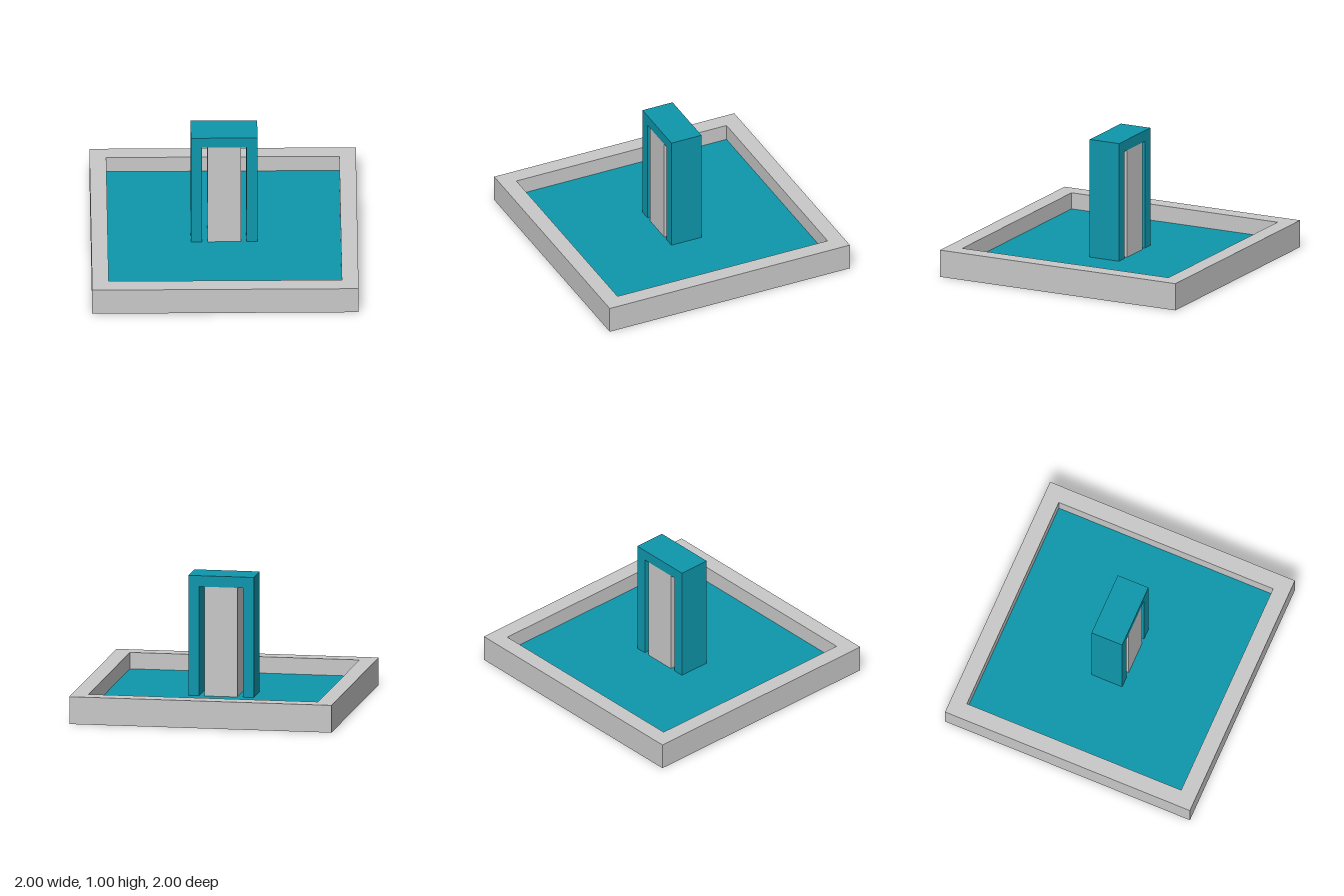
import * as THREE from 'three';

// Everything sits on a grid of 24 steps per unit
const U = 1 / 24;

export function createModel() {
  const stone = new THREE.MeshStandardMaterial({ color: 0xc8c8c8 });
  stone.name = 'stone grey';
  const teal = new THREE.MeshStandardMaterial({ color: 0x0e97ac });
  teal.name = 'teal';

  const model = new THREE.Group();
  model.name = 'gateInBasin';

  function add(name, geometry, material, y = 0) {
    const mesh = new THREE.Mesh(geometry, material);
    mesh.name = name;
    mesh.position.y = y;
    model.add(mesh);
    return mesh;
  }

  // Square basin: underside, outer walls, rim and inner walls in one four-sided turn
  const profile = [[0, 0], [24, 0], [24, 5], [21, 5], [21, 2]]
    .map(([r, y]) => new THREE.Vector2(r * U * Math.SQRT2, y * U));
  const basin = new THREE.LatheGeometry(profile, 4, Math.PI / 4).toNonIndexed();
  basin.computeVertexNormals();
  add('basin', basin, stone);

  // Flat basin floor
  const floor = new THREE.PlaneGeometry(42 * U, 42 * U).rotateX(-Math.PI / 2);
  add('basinFloor', floor, teal, 2 * U);

  // Gate frame: two posts and a lintel as one outline
  const outline = [[-6, 0], [-4, 0], [-4, 20], [4, 20], [4, 0], [6, 0], [6, 22], [-6, 22]]
    .map(([x, y]) => new THREE.Vector2(x * U, y * U));
  const frame = new THREE.ExtrudeGeometry(new THREE.Shape(outline), { depth: 6 * U, bevelEnabled: false });
  frame.translate(0, 0, -3 * U);
  add('gateFrame', frame, teal, 2 * U);

  // Pillar standing in the opening, flush with the frame
  add('centrePillar', new THREE.BoxGeometry(6 * U, 20 * U, 6 * U), stone, 12 * U);

  return model;
}
